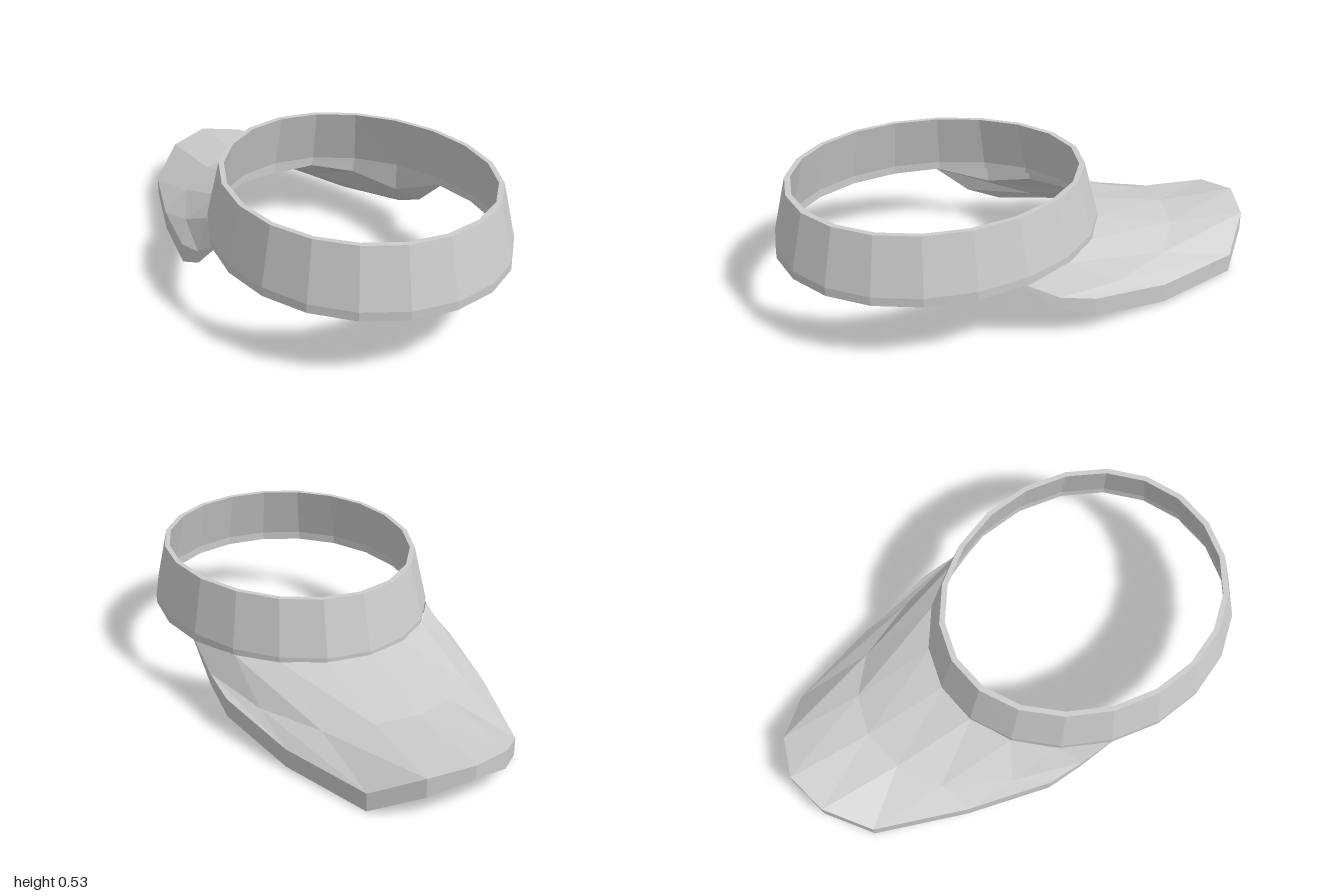
import * as THREE from 'three';

const material = new THREE.MeshStandardMaterial({ color: 0xcccccc, flatShading: true, side: THREE.DoubleSide });

// Headband: closed profile turned in 20 steps, then stretched into an egg-like oval
function createBand() {
  const profile = [[0.56, 0.275], [0.56, 0.31], [0.51, 0.535], [0.49, 0.535], [0.54, 0.31], [0.54, 0.275], [0.56, 0.275]]
    .map(([r, y]) => new THREE.Vector2(r, y));
  const geo = new THREE.LatheGeometry(profile, 20);
  const p = geo.attributes.position;
  for (let i = 0; i < p.count; i++) {
    const x = p.getX(i), z = p.getZ(i), y = p.getY(i);
    const r = Math.hypot(x, z);
    p.setZ(i, z * 1.161 + 0.35 + 0.03 * (x / r) ** 2);
    // bottom edge lifts a little where the brim joins
    if (y < 0.3 && z < 0) p.setY(i, y + 0.02 * (z / r) ** 2);
  }
  geo.computeVertexNormals();
  const mesh = new THREE.Mesh(geo, material);
  mesh.name = 'headband';
  return mesh;
}

// Brim: a closed six-point section for each column across the width
function createBrim() {
  const halfX = [0, 0.172, 0.328, 0.452, 0.53];
  const innerZ = [-0.29, -0.26, -0.17, -0.02, 0.2];
  const outerZ = [-1, -0.95, -0.81, -0.44, -0.1];
  const upper = [[0.295, 0.21, 0.2], [0.295, 0.2, 0.175], [0.29, 0.16, 0.08], [0.285, 0.155, 0.09], [0.285, 0.19, 0.15]];
  const lower = [[0.255, 0.155, 0.145], [0.265, 0.14, 0.095], [0.235, 0.09, 0.003], [0.18, 0.075, 0.012], [0.275, 0.14, 0.07]];
  const positions = [], index = [];

  for (let i = -4; i <= 4; i++) {
    const c = Math.abs(i), x = Math.sign(i) * halfX[c];
    const warp = i === -3 ? 0.028 : i === -2 ? 0.012 : 0; // slight bend on one side
    const z = [innerZ[c], (innerZ[c] + outerZ[c]) / 2, outerZ[c]];
    for (const k of [0, 1, 2]) positions.push(x, upper[c][k] + (k ? warp : 0), z[k]);
    for (const k of [2, 1, 0]) positions.push(x, lower[c][k] + warp, z[k]);
  }
  for (let i = 0; i < 8; i++) {
    for (let k = 0; k < 6; k++) {
      const a = i * 6 + k, d = i * 6 + (k + 1) % 6;
      const b = a + 6, e = d + 6;
      index.push(a, b, d, b, e, d);
    }
  }
  // side edges
  for (const [a, b, c] of [[0, 1, 4], [0, 4, 5], [1, 2, 3], [1, 3, 4]]) {
    index.push(a, b, c, 48 + a, 48 + c, 48 + b);
  }
  const geo = new THREE.BufferGeometry();
  geo.setAttribute('position', new THREE.Float32BufferAttribute(positions, 3));
  geo.setIndex(index);
  geo.computeVertexNormals();
  const mesh = new THREE.Mesh(geo, material);
  mesh.name = 'brim';
  return mesh;
}

export function createModel() {
  const group = new THREE.Group();
  group.name = 'sunVisor';
  group.add(createBand(), createBrim());
  return group;
}
